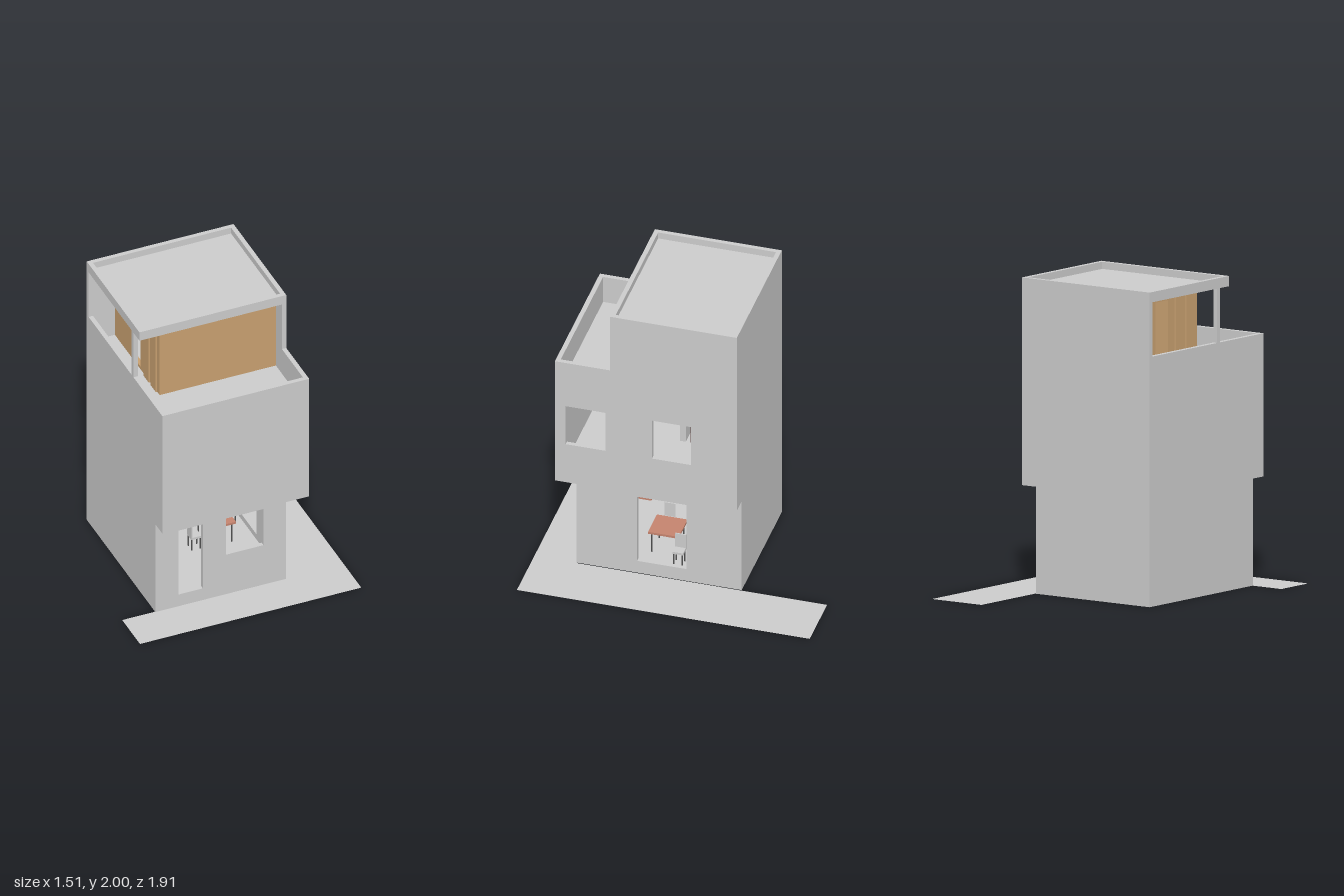
import * as THREE from 'three';

const T = 0.03; // wall thickness
const mat = (color) => new THREE.MeshStandardMaterial({ color, side: THREE.DoubleSide });
const grey = mat(0xcccccc), tan = mat(0xc8a070), salmon = mat(0xc4836e);
const yellow = mat(0xf0f030), darkWood = mat(0x5e4643), dark = mat(0x555555);

export function createModel() {
  const house = new THREE.Group();
  house.name = 'house';

  const add = (name, geometry, material, parent = house) => {
    const mesh = new THREE.Mesh(geometry, material);
    mesh.name = name;
    parent.add(mesh);
    return mesh;
  };

  // Box given by its extents on each axis
  const box = (name, [x0, x1], [y0, y1], [z0, z1], material = grey, parent = house) => {
    const mesh = add(name, new THREE.BoxGeometry(x1 - x0, y1 - y0, z1 - z0), material, parent);
    mesh.position.set((x0 + x1) / 2, (y0 + y1) / 2, (z0 + z1) / 2);
    return mesh;
  };

  const outline = (points) => points.map(([u, v]) => new THREE.Vector2(u, v));

  // Wall from an outline with rectangular openings [u0, u1, v0, v1]
  const wallGeometry = (points, openings = []) => {
    const shape = new THREE.Shape(outline(points));
    for (const [a, b, c, d] of openings) {
      shape.holes.push(new THREE.Path(outline([[a, c], [a, d], [b, d], [b, c]])));
    }
    return new THREE.ExtrudeGeometry(shape, { depth: T, bevelEnabled: false });
  };
  // Wall facing front or back, spanning z .. z + T
  const wallZ = (name, z, points, openings, material = grey) => {
    add(name, wallGeometry(points, openings), material).position.z = z;
  };
  // Wall facing a side, drawn in (z, y), spanning x - T .. x
  const wallX = (name, x, points, openings, material = grey) => {
    const mesh = add(name, wallGeometry(points, openings), material);
    mesh.rotation.y = -Math.PI / 2;
    mesh.position.x = x;
  };
  const rect = (a, b, c, d) => [[a, c], [b, c], [b, d], [a, d]];

  // L-shaped pavement
  const pavement = new THREE.Shape(outline([
    [-0.76, 0.675], [0.365, 0.675], [0.365, -0.96], [0.755, -0.96], [0.755, 0.955], [-0.76, 0.955],
  ]));
  add('pavement', new THREE.ShapeGeometry(pavement), grey).rotation.x = Math.PI / 2;

  // Outer walls
  wallZ('backWall', -0.4, [
    [-0.535, 0], [0.36, 0], [0.36, 0.68], [0.47, 0.68], [0.47, 2], [-0.535, 2],
  ]);
  wallZ('lowerFrontWall', 0.65, rect(-0.535, 0.36, 0, 0.7), [
    [-0.375, -0.21, 0.09, 0.585], [-0.05, 0.205, 0.305, 0.585],
  ]);
  wallZ('upperFrontWall', 0.76, rect(-0.535, 0.47, 0.68, 1.59));
  wallX('lowerLeftWall', 0.36, rect(-0.37, 0.65, 0, 0.7), [[-0.04, 0.285, 0.09, 0.58]]);
  wallX('upperLeftWall', 0.47, [
    [-0.37, 0.68], [0.76, 0.68], [0.76, 1.59], [0.43, 1.59], [0.43, 2], [-0.37, 2],
  ], [[0.46, 0.72, 0.97, 1.26], [-0.1, 0.155, 0.97, 1.26]]);
  wallX('rightWall', -0.535 + T, [
    [-0.37, 0], [0.65, 0], [0.65, 0.68], [0.76, 0.68], [0.76, 1.59], [-0.37, 1.59],
  ], [[-0.147, 0.12, 0.97, 1.25], [0.267, 0.533, 0.97, 1.25]]);
  for (const z of [[-0.147, 0.12], [0.267, 0.533]]) {
    box('rightWindowPane', [-0.535, -0.525], [0.97, 1.25], z);
  }

  // Floors
  box('groundFloor', [-0.505, 0.33], [0, 0.05], [-0.37, 0.65]);
  box('upperFloor', [-0.505, 0.44], [0.7, 0.73], [-0.37, 0.76]);
  box('terraceFloor', [-0.505, 0.44], [1.37, 1.4], [-0.37, 0.76]);

  // Roof with raised rim and corner post
  box('roofSlab', [-0.505, 0.44], [1.935, 1.955], [-0.37, 0.4]);
  box('roofFrontRim', [-0.535, 0.44], [1.935, 2], [0.4, 0.43]);
  box('roofRightRim', [-0.535, -0.505], [1.935, 2], [-0.37, 0.4]);
  box('roofPost', [-0.535, -0.505], [1.59, 1.935], [0.305, 0.335]);

  // Timber room on the terrace
  wallZ('timberFrontWall', 0.305, rect(-0.355, 0.44, 1.4, 1.935), [], tan);
  wallX('timberSideWall', -0.325, rect(-0.37, 0.305, 1.4, 1.935), [
    [-0.1, 0.03, 1.42, 1.88],
  ], tan);
  for (const z of [0.1, 0.21]) {
    box('timberDoorPanel', [-0.365, -0.355], [1.4, 1.9], [z, z + 0.085], tan);
  }

  // Ground floor fittings
  box('tallCabinet', [-0.505, -0.355], [0.05, 0.42], [0.4, 0.62], salmon);
  box('wallCupboard', [-0.505, -0.34], [0.46, 0.6], [0.28, 0.5], dark);
  box('backsplash', [-0.505, -0.495], [0.235, 0.36], [-0.1, 0.4], yellow);
  box('kitchenCounter', [-0.505, -0.38], [0.05, 0.235], [-0.1, 0.38]);
  box('shelf', [-0.495, -0.44], [0.36, 0.375], [0.05, 0.185], salmon);
  box('sideboard', [0.04, 0.22], [0.28, 0.365], [-0.2, -0.12], darkWood);

  // Staircase along the back wall
  for (let i = 0; i < 12; i++) {
    const x = 0.3 - i * 0.064, y = 0.05 + (i + 1) * 0.036;
    box('stairStep', [x - 0.064, x], [y - 0.036, y], [-0.37, -0.22]);
  }

  // Table with four legs
  const furniture = (name, x, z, size, height, material) => {
    const group = new THREE.Group();
    group.name = name;
    group.position.set(x, 0.05, z);
    house.add(group);
    box('top', [-size, size], [height - 0.015, height], [-size, size], material, group);
    for (const sx of [-1, 1]) for (const sz of [-1, 1]) {
      const leg = add('leg', new THREE.CylinderGeometry(0.005, 0.005, height - 0.01, 6), dark, group);
      leg.position.set(sx * size * 0.8, height / 2 - 0.005, sz * size * 0.8);
    }
    return group;
  };
  furniture('table', 0.1, 0.16, 0.1, 0.16, salmon);
  for (const [x, z] of [[-0.06, 0.2], [0.25, 0.04]]) {
    const chair = furniture('chair', x, z, 0.035, 0.1, grey);
    box('chairBack', [-0.035, -0.027], [0.1, 0.2], [-0.035, 0.035], grey, chair);
  }

  // Upper floor fittings
  box('dresser', [-0.3, -0.1], [0.73, 1.08], [-0.25, 0.07], darkWood);
  box('wardrobe', [-0.3, -0.1], [0.73, 1.18], [0.1, 0.14]);

  return house;
}
